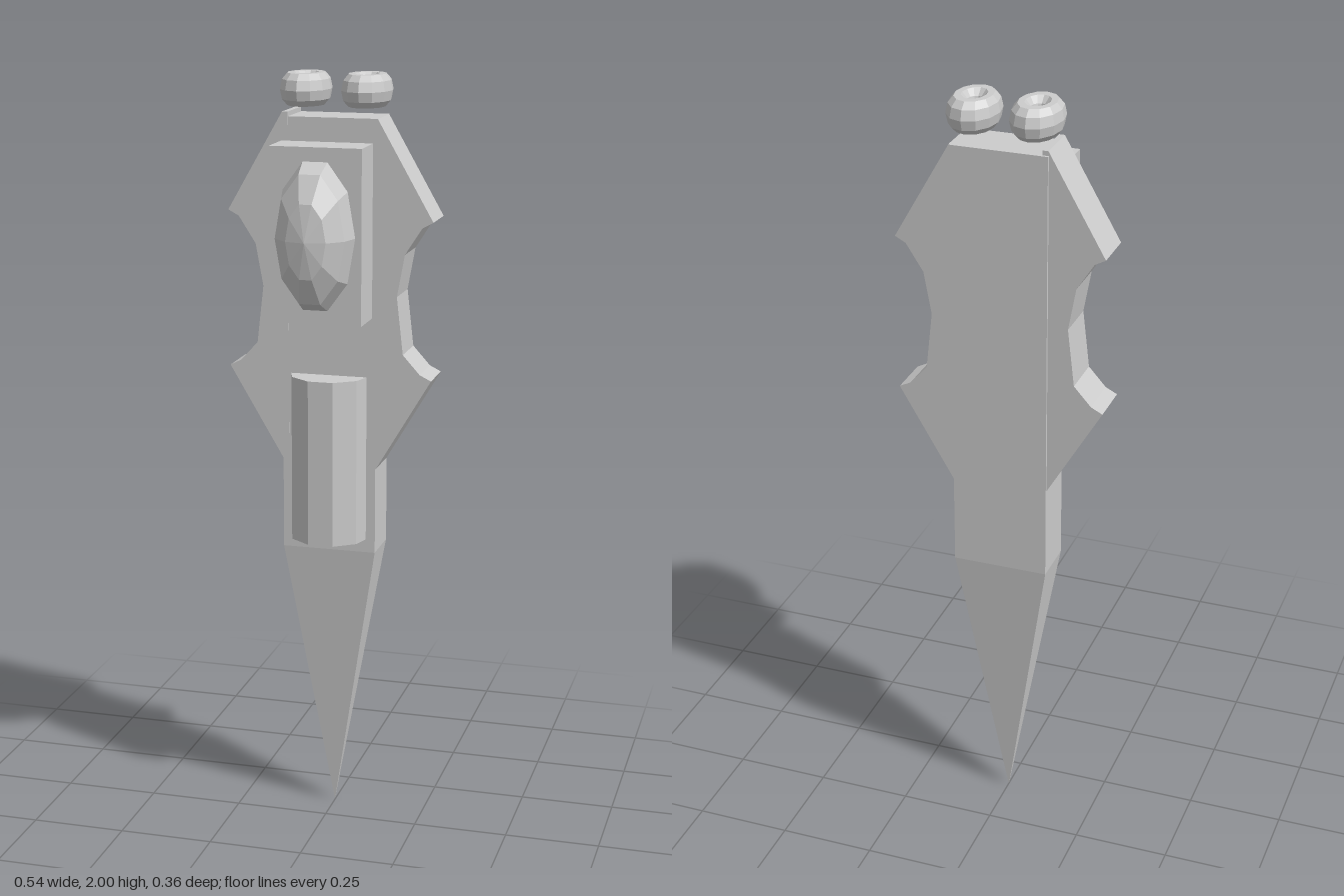
import * as THREE from 'three';

export function createModel() {
  const model = new THREE.Group();
  const material = new THREE.MeshStandardMaterial({ color: 0xcccccc, flatShading: true });

  function add(name, geometry, x, y, z) {
    const mesh = new THREE.Mesh(geometry, material);
    mesh.name = name;
    mesh.position.set(x, y, z);
    model.add(mesh);
    return mesh;
  }

  // Main slab
  add('body', new THREE.BoxGeometry(0.25, 1.14, 0.125), -0.001, 1.32, -0.1);

  // Four-sided spike tapering to the ground
  const spike = new THREE.ConeGeometry(Math.SQRT1_2, 1, 4, 1).rotateY(Math.PI / 4);
  spike.rotateX(Math.PI).scale(0.25, 0.75, 0.125);
  add('spike', spike, -0.001, 0.375, -0.1);

  // Side wings with a scooped notch between two points
  const wing = [
    [0.11, 1.89], [0.125, 1.89], [0.271, 1.635], [0.243, 1.62], [0.198, 1.55], [0.178, 1.44],
    [0.195, 1.29], [0.24, 1.24], [0.27, 1.225], [0.125, 0.98], [0.11, 0.98],
  ];
  for (const [name, side] of [['leftWing', 1], ['rightWing', -1]]) {
    const shape = new THREE.Shape(wing.map(([x, y]) => new THREE.Vector2(side * x, y)));
    const geometry = new THREE.ExtrudeGeometry(shape, { depth: 0.119, bevelEnabled: false });
    add(name, geometry, 0, side > 0 ? 0 : 0.012, -0.156);
  }

  // Raised block holding the domed gem
  add('gemMount', new THREE.BoxGeometry(0.24, 0.447, 0.125), -0.007, 1.605, 0.0125);
  const gem = new THREE.SphereGeometry(1, 10, 6).rotateX(Math.PI / 2);
  gem.scale(0.104, 0.197, 0.103);
  add('gem', gem, -0.007, 1.605, 0.075);

  // Upright barrel half sunk into the slab
  const barrel = new THREE.CylinderGeometry(0.107, 0.107, 0.44, 10, 1, false, Math.PI / 10);
  add('barrel', barrel, -0.002, 1.005, -0.055);

  // Pair of oval rings on top
  for (const [name, x] of [['leftRing', 0.085], ['rightRing', -0.075]]) {
    const ring = new THREE.TorusGeometry(0.6, 0.4, 10, 12).rotateX(Math.PI / 2);
    ring.scale(0.065, 0.107, 0.093);
    add(name, ring, x, 1.957, -0.087);
  }

  return model;
}
